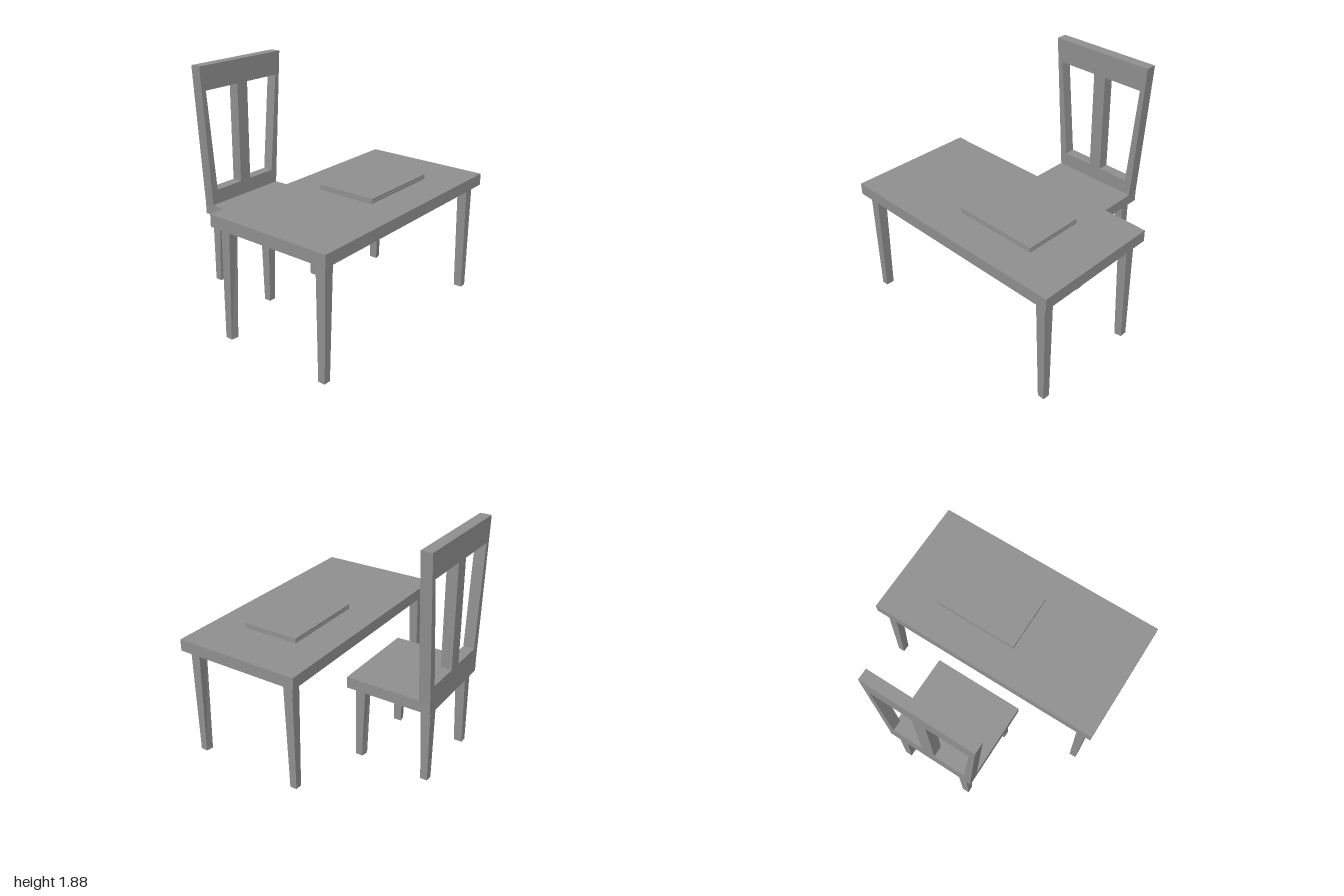
import * as THREE from 'three';

const grey = new THREE.MeshStandardMaterial({ color: 0x8f8f8f });
grey.name = 'plain grey';

// Box given by its limits on each axis
function slab(name, [x0, x1], [y0, y1], [z0, z1]) {
  const mesh = new THREE.Mesh(new THREE.BoxGeometry(x1 - x0, y1 - y0, z1 - z0), grey);
  mesh.name = name;
  mesh.position.set((x0 + x1) / 2, (y0 + y1) / 2, (z0 + z1) / 2);
  return mesh;
}

// Leg with straight outer faces at (x, z), tapering on the inner faces
function leg(name, x, z, sx, sz, height) {
  const top = 0.081, footX = 0.057, footZ = 0.057, footZInner = 0.068;
  const geo = new THREE.BoxGeometry(1, 1, 1).toNonIndexed();
  const p = geo.attributes.position;
  for (let i = 0; i < p.count; i++) {
    const isTop = p.getY(i) > 0;
    const innerX = p.getX(i) * sx < 0, innerZ = p.getZ(i) * sz < 0;
    const dx = innerX ? (isTop ? top : footX) : 0;
    const dz = innerZ ? (isTop ? top : innerX ? footZInner : footZ) : 0;
    p.setXYZ(i, x - sx * dx, isTop ? height : 0, z - sz * dz);
  }
  geo.computeVertexNormals();
  const mesh = new THREE.Mesh(geo, grey);
  mesh.name = name;
  return mesh;
}

function addLegs(group, name, x, zFront, zBack, height) {
  for (const s of [1, -1]) {
    const side = s > 0 ? 'Left' : 'Right';
    group.add(leg(`${name}Front${side}Leg`, s * x, zFront, s, 1, height));
    group.add(leg(`${name}Back${side}Leg`, s * x, zBack, s, -1, height));
  }
}

function polygon(Type, points) {
  return new Type(points.map(([x, y]) => new THREE.Vector2(x, y)));
}

export function createModel() {
  const model = new THREE.Group();
  model.name = 'deskAndChair';

  // Table
  const table = new THREE.Group();
  table.name = 'table';
  table.add(slab('tableTop', [-1, 1], [0.905, 1], [-0.155, 0.893]));
  addLegs(table, 'table', 0.947, 0.846, -0.105, 0.905);

  // Closed laptop lying on the table
  const laptop = new THREE.Group();
  laptop.name = 'laptop';
  laptop.add(slab('laptopBase', [-0.123, 0.59], [1.006, 1.021], [0.127, 0.613]));
  laptop.add(slab('laptopCore', [-0.117, 0.584], [1.0, 1.03], [0.133, 0.607]));
  laptop.add(slab('laptopLid', [-0.123, 0.59], [1.025, 1.042], [0.127, 0.613]));

  // Chair
  const chair = new THREE.Group();
  chair.name = 'chair';
  chair.add(slab('seat', [-0.383, 0.383], [0.625, 0.717], [-0.805, -0.188]));
  addLegs(chair, 'chair', 0.328, -0.235, -0.872, 0.625);

  // Flared backrest with two openings either side of a central slat
  const outline = polygon(THREE.Shape, [
    [-0.383, 0.625], [0.383, 0.625], [0.383, 0.717],
    [0.456, 1.884], [-0.456, 1.884], [-0.383, 0.717],
  ]);
  for (const s of [1, -1]) {
    outline.holes.push(polygon(THREE.Path, [
      [s * 0.056, 0.84], [s * 0.327, 0.84], [s * 0.4, 1.685], [s * 0.056, 1.685],
    ]));
  }
  const back = new THREE.Mesh(
    new THREE.ExtrudeGeometry(outline, { depth: 0.09, bevelEnabled: false }), grey);
  back.name = 'backrest';
  back.position.z = -0.893;
  chair.add(back);

  model.add(table, laptop, chair);
  return model;
}
